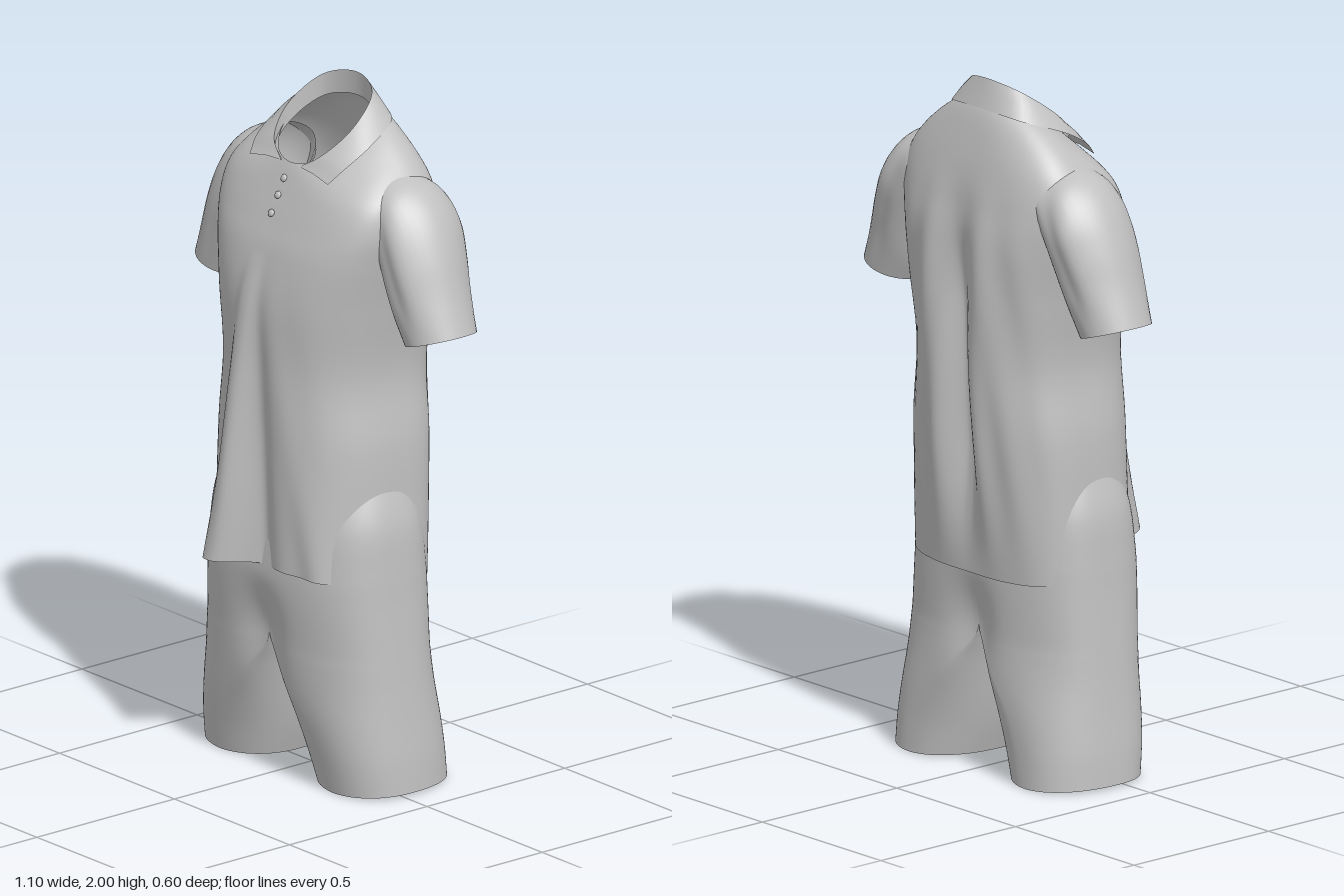
import * as THREE from 'three';

const fabric = new THREE.MeshStandardMaterial({ color: 0xc0c0c0, side: THREE.DoubleSide });
fabric.name = 'light grey fabric';

const spow = (v, e) => Math.sign(v) * Math.abs(v) ** e;
const bell = (x, centre, width) => Math.exp(-(((x - centre) / width) ** 2));
const ramp = (v, a, b) => THREE.MathUtils.smoothstep(v, a, b);

// Smoothly fills in rows of numbers, steps per gap
function fill(rows, steps) {
  const out = [];
  const row = (i) => rows[THREE.MathUtils.clamp(i, 0, rows.length - 1)];
  for (let i = 0; i < rows.length - 1; i++) {
    for (let k = 0; k < steps; k++) {
      const t = k / steps;
      out.push(rows[i].map((p1, j) => {
        const p0 = row(i - 1)[j], p2 = row(i + 1)[j], p3 = row(i + 2)[j];
        return p1 + 0.5 * t * (p2 - p0 + t * (2 * p0 - 5 * p1 + 4 * p2 - p3 + t * (3 * (p1 - p2) + p3 - p0)));
      }));
    }
  }
  out.push(rows[rows.length - 1]);
  return out;
}

// Skins a list of rings of [x, y, z] points
function loft(name, rings, closed = true) {
  const n = rings[0].length, index = [];
  for (let r = 0; r < rings.length - 1; r++) {
    for (let i = 0; i < (closed ? n : n - 1); i++) {
      const a = r * n + i, b = r * n + ((i + 1) % n);
      index.push(a, a + n, b, b, a + n, b + n);
    }
  }
  const geometry = new THREE.BufferGeometry();
  geometry.setAttribute('position', new THREE.Float32BufferAttribute(rings.flat(2), 3));
  geometry.setIndex(index);
  geometry.computeVertexNormals();
  const mesh = new THREE.Mesh(geometry, fabric);
  mesh.name = name;
  return mesh;
}

// Calls point(cos, sin) along an arc, with points packed near the flat sides
function arc(n, from, to, point) {
  return Array.from({ length: n }, (_, i) => {
    const a = from + (i / (n - 1)) * (to - from);
    const warped = a - 0.2 * Math.sin(4 * a);
    return point(Math.cos(warped), Math.sin(warped));
  });
}
const ring = (n, point) => arc(n + 1, 0, Math.PI * 2, point).slice(0, n);

const mirror = (rings) => rings.map((r) => r.map(([x, y, z]) => [-x, y, z]).reverse());

// Hanging drapery of the shirt
function shirtFold(x, y, s) {
  const low = 1 - ramp(y, 0.75, 1.6);
  const edge = Math.min(1, Math.abs(s) * 1.5);
  if (s > 0) {
    const t = THREE.MathUtils.clamp((1.55 - y) / 0.95, 0, 1);
    const big = 0.097 * t * Math.exp(-(Math.abs((x + 0.02 + 0.085 * t) / (0.03 + 0.037 * t)) ** 2.6));
    const side = 0.018 * t * bell(x, 0.03 + 0.2 * t, 0.05);
    const groove = -0.014 * t * bell(x, 0.02 + 0.01 * t, 0.03);
    return edge * (big + side + groove + 0.004 * low * Math.sin(x * 45 + y * 4));
  }
  const mid = ramp(y, 0.55, 1.0) * (1 - ramp(y, 1.35, 1.75));
  return edge * (mid * (0.055 * bell(x, 0, 0.05) - 0.012 * bell(Math.abs(x), 0.1, 0.04))
    + 0.004 * mid * Math.sin(Math.abs(x) * 55 + y * 7));
}

export function createModel() {
  const model = new THREE.Group();
  model.name = 'shirtAndShorts';

  // Shirt body, open at hem and neck: y, half width, front z, back z, roundness, tilt
  const torso = fill([
    [0.60, 0.318, 0.205, -0.240, 0.68, -0.12],
    [0.80, 0.312, 0.205, -0.260, 0.70, -0.05],
    [1.00, 0.305, 0.205, -0.280, 0.75, 0],
    [1.20, 0.280, 0.208, -0.295, 0.78, 0],
    [1.40, 0.302, 0.208, -0.297, 0.76, 0],
    [1.55, 0.328, 0.182, -0.290, 0.70, 0.03],
    [1.65, 0.342, 0.148, -0.270, 0.66, 0.08],
    [1.73, 0.330, 0.118, -0.248, 0.66, 0.15],
    [1.79, 0.290, 0.100, -0.226, 0.75, 0.28],
    [1.845, 0.222, 0.088, -0.200, 0.90, 0.48],
    [1.885, 0.147, 0.078, -0.172, 1.00, 0.65],
  ], 7).map(([y, hw, zf, zb, e, tilt]) => ring(176, (c, s) => {
    const x = hw * spow(c, e), zc = -0.07;
    const z = zc + (s > 0 ? zf - zc : zc - zb) * spow(s, e);
    return [x, y - tilt * (z - zc), z + shirtFold(x, y, s)];
  }));
  model.add(loft('shirtBody', torso));

  // Sleeves: outer x, y, inner x, y, centre z, half depth, running cuff to shoulder
  const sleeve = fill([
    [0.548, 1.380, 0.365, 1.322, -0.087, 0.106],
    [0.507, 1.490, 0.325, 1.395, -0.088, 0.116],
    [0.472, 1.590, 0.295, 1.480, -0.092, 0.127],
    [0.434, 1.672, 0.270, 1.550, -0.097, 0.133],
    [0.390, 1.732, 0.240, 1.600, -0.097, 0.130],
    [0.335, 1.773, 0.210, 1.640, -0.095, 0.122],
    [0.250, 1.800, 0.170, 1.680, -0.090, 0.100],
  ], 6).map(([ox, oy, ix, iy, zc, d]) => ring(64, (c, s) => {
    const h = (1 + c) / 2;
    const x = ix + (ox - ix) * h, y = iy + (oy - iy) * h;
    const crease = 0.005 * ramp(y, 1.36, 1.5) * Math.sin(x * 60 + y * 25);
    return [x, y, zc + (d + crease) * s];
  }));
  model.add(loft('leftSleeve', sleeve), loft('rightSleeve', mirror(sleeve)));

  // Collar: half paths from the front round to the centre back
  const path = (half) => {
    const pts = half.concat(half.slice(0, -1).reverse().map(([x, y, z]) => [-x, y, z]));
    return new THREE.CatmullRomCurve3(pts.map((p) => new THREE.Vector3(...p))).getPoints(64)
      .map((p) => p.toArray());
  };
  const top = path([[0.04, 1.785, 0.08], [0.105, 1.83, 0.05], [0.14, 1.9, -0.03],
    [0.105, 1.975, -0.13], [0, 2.0, -0.165]]);
  const point = path([[0.17, 1.768, 0.085], [0.192, 1.81, 0.04], [0.2, 1.86, -0.045],
    [0.15, 1.905, -0.165], [0, 1.92, -0.195]]);
  const stand = path([[0.02, 1.77, 0.075], [0.105, 1.795, 0.045], [0.138, 1.85, -0.04],
    [0.105, 1.91, -0.135], [0, 1.93, -0.168]]);
  const middle = top.map((p, i) => p.map((v, j) => (v + point[i][j]) / 2 + [0, 0.006, 0.002][j]));
  model.add(loft('collarFall', [top, middle, point], false));
  model.add(loft('collarStand', [stand, top], false));

  // Buttons on the placket
  for (const [y, z] of [[1.745, 0.1], [1.7, 0.122], [1.652, 0.146]]) {
    const button = new THREE.Mesh(new THREE.SphereGeometry(0.011, 16, 10), fabric);
    button.name = 'button';
    button.scale.z = 0.6;
    button.position.set(-0.003, y, z);
    button.rotation.x = -0.45;
    model.add(button);
  }

  // Shorts, one half: y, outer x, middle x, inner x, front z, back z, roundness
  const rows = fill([
    [0.008, 0.403, 0.245, 0.085, 0.128, -0.238, 0.88],
    [0.10, 0.397, 0.225, 0.056, 0.145, -0.236, 0.86],
    [0.20, 0.386, 0.175, 0.033, 0.162, -0.235, 0.83],
    [0.30, 0.376, 0.090, 0.015, 0.177, -0.233, 0.79],
    [0.37, 0.370, 0.025, 0.004, 0.186, -0.231, 0.75],
    [0.42, 0.366, 0, 0, 0.190, -0.230, 0.74],
    [0.55, 0.356, 0, 0, 0.197, -0.229, 0.73],
    [0.65, 0.350, 0, 0, 0.194, -0.225, 0.73],
    [0.78, 0.338, 0, 0, 0.180, -0.215, 0.76],
    [0.90, 0.300, 0, 0, 0.150, -0.200, 0.85],
  ], 6);
  const shortsArc = (from, to) => ([y, xo, mid, inner, zf, zb, e]) => arc(80, from, to, (c, s) => {
    const xc = Math.max(0, mid), xi = Math.max(0, inner);
    const x = xc + (c > 0 ? xo - xc : xc - xi) * spow(c, e);
    const z = -0.03 + (s > 0 ? zf + 0.03 : -0.03 - zb) * spow(s, e);
    // Dip at the centre above the crotch, and a slight curve in the hem
    const dip = -0.035 * s * bell(x, 0, 0.08) * ramp(y, 0.15, 0.42) * (1 - ramp(y, 0.42, 0.62));
    const hem = -0.008 * (1 - ramp(y, 0, 0.1)) * (1 - Math.abs(c));
    return [x, y + hem, z + dip];
  });
  const outside = rows.map(shortsArc(-Math.PI / 2, Math.PI / 2));
  // The inner leg stops where both halves meet at the crotch
  const inside = rows.slice(0, 31).map(shortsArc(Math.PI / 2, Math.PI * 1.5));
  model.add(loft('leftShortsOutside', outside, false), loft('rightShortsOutside', mirror(outside), false));
  model.add(loft('leftInnerLeg', inside, false), loft('rightInnerLeg', mirror(inside), false));

  return model;
}
